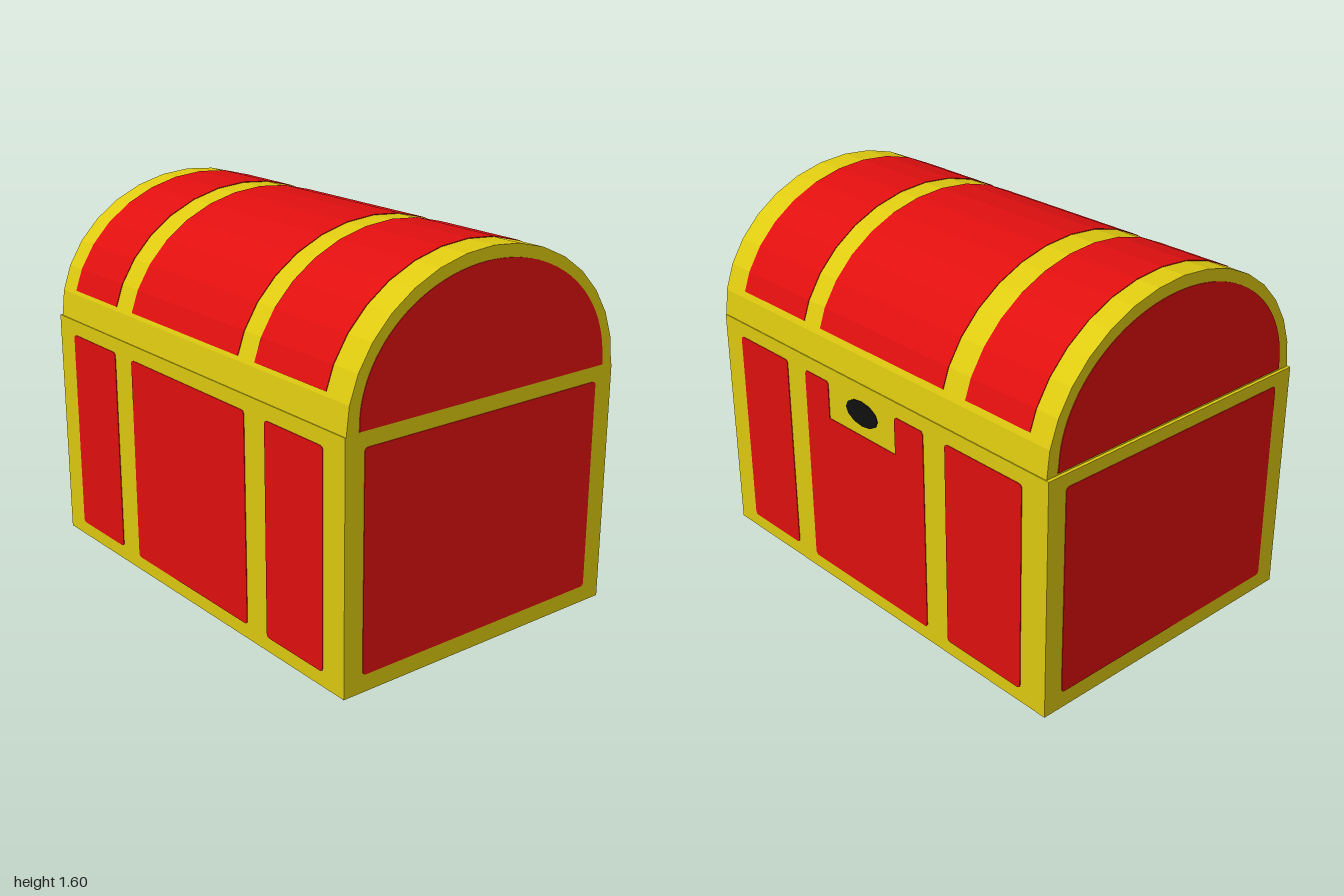
import * as THREE from 'three';

const BODY = { x: 0.682, z: 0.997, bottom: 0.003, top: 1.02 };
const LID = { x: 0.678, rise: 0.577, y: 1.02, front: 0.997, back: -0.983, sides: 16 };
const PLATE = 0.004, SINK = 0.001;

// Rectangle with small chamfer-like rounded corners
function roundedRect(x0, x1, y0, y1, r = 0.018) {
  const s = new THREE.Shape();
  s.moveTo(x0 + r, y0).lineTo(x1 - r, y0).quadraticCurveTo(x1, y0, x1, y0 + r);
  s.lineTo(x1, y1 - r).quadraticCurveTo(x1, y1, x1 - r, y1);
  s.lineTo(x0 + r, y1).quadraticCurveTo(x0, y1, x0, y1 - r);
  s.lineTo(x0, y0 + r).quadraticCurveTo(x0, y0, x0 + r, y0);
  return s;
}

// Points along the faceted dome between two angles in degrees
function domePoints(from, to, grow = 0) {
  const step = 180 / LID.sides;
  const corner = (i) => {
    const t = THREE.MathUtils.degToRad(i * step);
    return new THREE.Vector2((LID.x + grow) * Math.cos(t), LID.y + (LID.rise + grow) * Math.sin(t));
  };
  const at = (deg) => {
    const i = Math.min(Math.floor(deg / step), LID.sides - 1);
    return corner(i).lerp(corner(i + 1), deg / step - i);
  };
  const points = [at(from)];
  for (let i = Math.floor(from / step) + 1; i * step < to; i++) points.push(corner(i));
  points.push(at(to));
  return points;
}

export function createModel() {
  const chest = new THREE.Group();
  chest.name = 'treasureChest';
  const gold = new THREE.MeshStandardMaterial({ color: 0xdeca10 });
  gold.name = 'gold';
  const red = new THREE.MeshStandardMaterial({ color: 0xe00f0f });
  red.name = 'red';
  const black = new THREE.MeshStandardMaterial({ color: 0x0f0f0f });
  black.name = 'black';

  const add = (name, geometry, material) => {
    const mesh = new THREE.Mesh(geometry, material);
    mesh.name = name;
    chest.add(mesh);
    return mesh;
  };
  const extrude = (shape, depth) =>
    new THREE.ExtrudeGeometry(shape, { depth, bevelEnabled: false, curveSegments: 6 });

  // Thin plates, drawn in x-y and turned onto each face
  const onFace = {
    front: (g) => g.translate(0, 0, BODY.z - SINK),
    back: (g) => g.translate(0, 0, BODY.z - SINK).rotateY(Math.PI),
    left: (g) => g.translate(0, 0, BODY.x - SINK).rotateY(Math.PI / 2),
    right: (g) => g.translate(0, 0, BODY.x - SINK).rotateY(-Math.PI / 2),
    bottom: (g) => g.rotateX(Math.PI / 2).translate(0, BODY.bottom + SINK, 0),
  };
  const plate = (name, face, shape, material = red) =>
    add(name, onFace[face](extrude(shape, PLATE)), material);

  // Box body
  const height = BODY.top - BODY.bottom;
  add('body', new THREE.BoxGeometry(BODY.x * 2, height, BODY.z * 2)
    .translate(0, BODY.bottom + height / 2, 0), gold);
  plate('frontPanel', 'front', roundedRect(-0.595, 0.59, 0.075, 0.965));
  plate('backPanel', 'back', roundedRect(-0.595, 0.59, 0.075, 0.965));
  plate('bottomPanel', 'bottom', roundedRect(-0.58, 0.575, -0.89, 0.88));

  // Lock side: outer panels, then a middle panel notched around the lock
  plate('lockSidePanel', 'left', roundedRect(-0.88, -0.545, 0.065, 0.955));
  plate('lockSidePanel', 'left', roundedRect(0.45, 0.865, 0.065, 0.955));
  const notched = new THREE.Shape();
  const outline = [[-0.408, 0.065], [0.315, 0.065], [0.325, 0.077], [0.325, 0.943], [0.315, 0.955],
    [0.165, 0.955], [0.155, 0.945], [0.155, 0.79], [-0.265, 0.79], [-0.265, 0.945], [-0.275, 0.955],
    [-0.408, 0.955], [-0.42, 0.943], [-0.42, 0.077]];
  notched.setFromPoints(outline.map(([x, y]) => new THREE.Vector2(x, y)));
  plate('lockPanel', 'left', notched);
  const hole = new THREE.Shape();
  hole.absellipse(-0.05, 0.89, 0.1, 0.055, 0, Math.PI * 2);
  plate('keyhole', 'left', hole, black);

  // Hinge side
  for (const [a, b] of [[-0.875, -0.53], [-0.4, 0.4], [0.53, 0.875]])
    plate('hingeSidePanel', 'right', roundedRect(a, b, 0.065, 0.955));

  // Domed lid
  const lid = extrude(new THREE.Shape(domePoints(0, 180)), LID.front - LID.back);
  add('lid', lid.translate(0, 0, LID.back), gold);

  // Curved lid panels between the bands
  const strip = new THREE.Shape([
    ...domePoints(14, 167, 0.003),
    ...domePoints(14, 167, -0.004).reverse(),
  ]);
  for (const [a, b] of [[-0.877, -0.54], [-0.417, 0.335], [0.442, 0.865]])
    add('lidPanel', extrude(strip, b - a).translate(0, 0, a), red);

  // Half-round panels on both lid ends
  const end = new THREE.Shape();
  end.moveTo(0.625, 1.028).lineTo(0.62, 1.06);
  end.absellipse(0, 1.05, 0.62, 0.495, 0.03, Math.PI - 0.03);
  end.lineTo(-0.62, 1.028);
  const endPlate = (name, z) => add(name, new THREE.ExtrudeGeometry(end,
    { depth: PLATE, bevelEnabled: false, curveSegments: 24 }).translate(0, 0, z), red);
  endPlate('lidFrontPanel', LID.front - SINK);
  endPlate('lidBackPanel', LID.back + SINK - PLATE);

  return chest;
}
